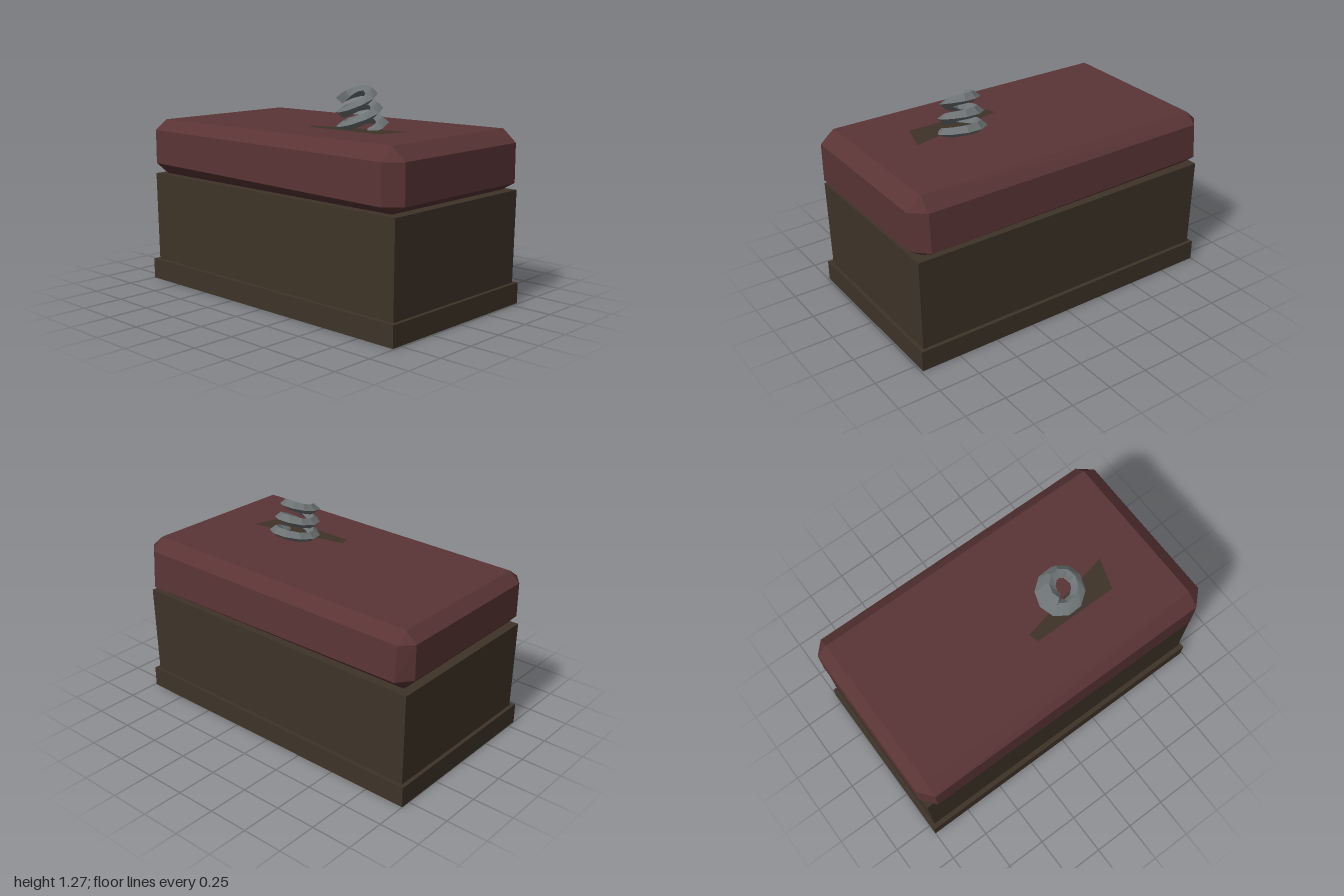
import * as THREE from 'three';
import { ConvexGeometry } from 'three/addons/geometries/ConvexGeometry.js';

function mat(name, color) {
  const m = new THREE.MeshStandardMaterial({ color, flatShading: true });
  m.name = name;
  return m;
}

function add(group, name, geometry, material) {
  const mesh = new THREE.Mesh(geometry, material);
  mesh.name = name;
  group.add(mesh);
}

// Gently sloping height of the cushion's upper face
const topY = (x) => 1.022 + 0.008 * x;

// Slightly uneven cushion with every edge and corner bevelled
function cushionGeometry() {
  const pts = [];
  for (const sx of [-1, 1]) for (const sz of [-1, 1]) for (const up of [true, false]) {
    const xi = sx < 0 ? -0.93 : 0.91;
    const zi = sz * 0.485;
    const yMid = up ? 0.955 : 0.737 - sx * 0.012;
    const zOut = sz < 0 ? (up ? -0.557 : -0.573) : 0.57;
    pts.push(new THREE.Vector3(xi, up ? topY(xi) : 0.676, zi));
    pts.push(new THREE.Vector3(xi, yMid, zOut));
    pts.push(new THREE.Vector3(sx * 0.997, yMid, zi));
  }
  return new ConvexGeometry(pts);
}

// Tapering, leaning coil with a diamond cross-section
function springGeometry() {
  const perTurn = 10, start = -1, end = 26;
  const rings = [];
  for (let i = start; i <= end; i++) {
    const a = (i / perTurn) * Math.PI * 2;
    const t = (i - start) / (end - start);
    const r = 0.118 - 0.043 * t;
    const cx = 0.317 - 0.02 * t, cz = 0.047 + 0.043 * t;
    const y = 1.022 + 0.082 * i / perTurn + 0.018 * Math.cos(a) + 0.034 * Math.sin(a);
    rings.push([[0.037, 0], [0, 0.031], [-0.037, 0], [0, -0.031]].map(([dr, dy]) =>
      [cx + (r + dr) * Math.cos(a), y + dy, cz - (r + dr) * Math.sin(a)]));
  }
  const pos = [];
  const quad = (a, b, c, d) => pos.push(...a, ...b, ...c, ...a, ...c, ...d);
  for (let i = 0; i < rings.length - 1; i++) {
    for (let j = 0; j < 4; j++) {
      const k = (j + 1) % 4;
      quad(rings[i][j], rings[i + 1][j], rings[i + 1][k], rings[i][k]);
    }
  }
  quad(...rings[0]);
  quad(...rings[rings.length - 1].slice().reverse());
  const g = new THREE.BufferGeometry();
  g.setAttribute('position', new THREE.Float32BufferAttribute(pos, 3));
  g.computeVertexNormals();
  return g;
}

// Four-cornered rip lying on the cushion
function tearGeometry() {
  const corners = [[0.02, 0.15], [0.04, 0.21], [0.57, 0.21], [0.63, 0.02]];
  const g = new THREE.BufferGeometry();
  const pos = corners.flatMap(([x, z]) => [x, topY(x) + 0.004, z]);
  g.setAttribute('position', new THREE.Float32BufferAttribute(pos, 3));
  g.setIndex([0, 1, 2, 0, 2, 3]);
  g.computeVertexNormals();
  return g;
}

export function createModel() {
  const group = new THREE.Group();
  group.name = 'wornOttoman';
  const wood = mat('dark brown', 0x3e3328);
  const fabric = mat('faded maroon', 0x5a3435);
  const metal = mat('spring grey', 0x6c7273);

  // Plinth
  const plinth = new THREE.BoxGeometry(1.99, 0.125, 1.12);
  plinth.translate(-0.005, 0.0625, 0);
  add(group, 'plinth', plinth, wood);

  // Body, flaring very slightly towards the top
  const body = new THREE.BoxGeometry(1.96, 0.55, 1.076);
  const p = body.attributes.position;
  for (let i = 0; i < p.count; i++) {
    if (p.getY(i) < 0) {
      p.setX(i, p.getX(i) * 0.992);
      p.setZ(i, p.getZ(i) * 0.992);
    }
  }
  body.translate(-0.005, 0.4, -0.003);
  body.computeVertexNormals();
  add(group, 'body', body, wood);

  add(group, 'cushion', cushionGeometry(), fabric);
  add(group, 'tear', tearGeometry(), wood);
  add(group, 'spring', springGeometry(), metal);
  return group;
}
